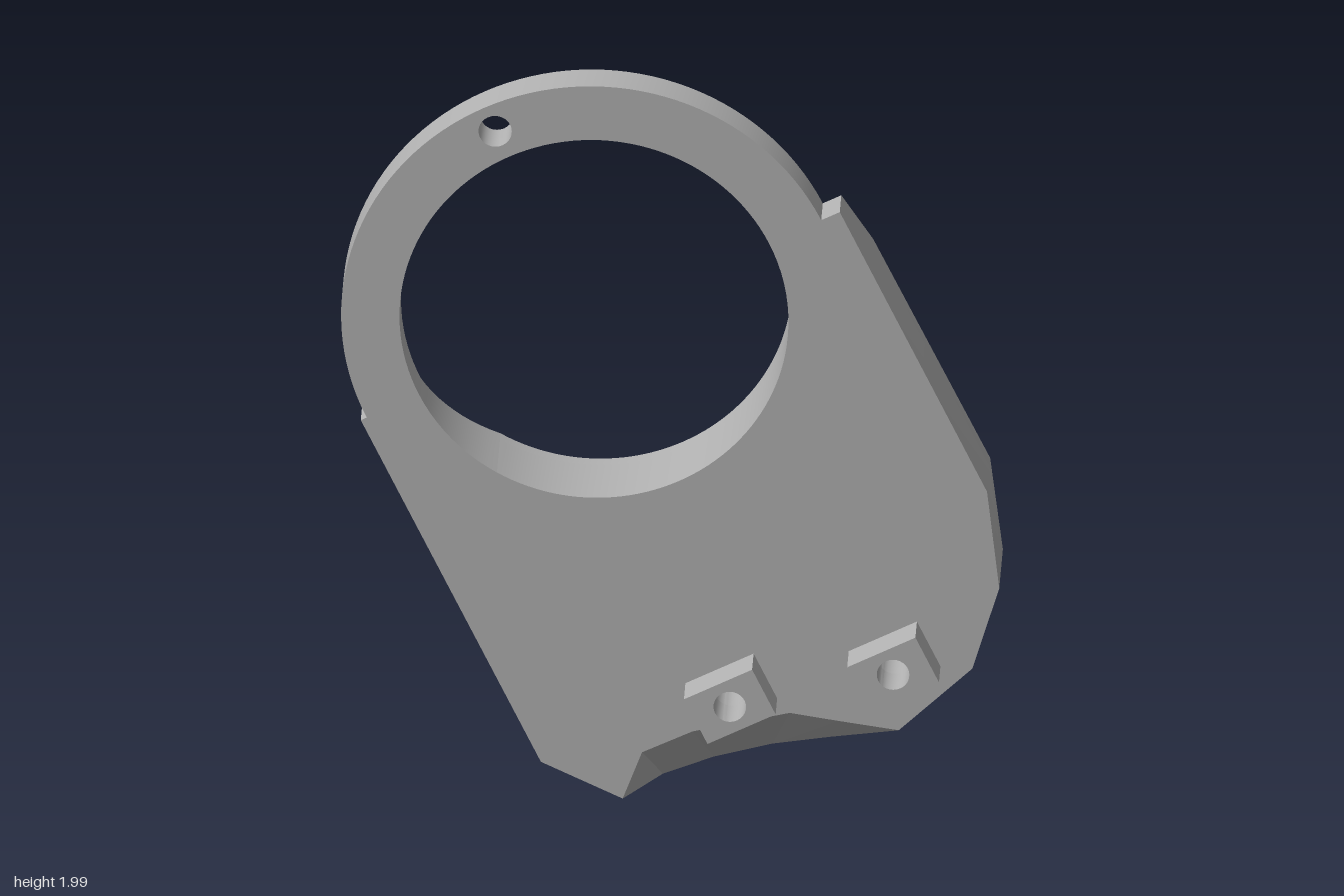
import * as THREE from 'three';
import { mergeGeometries, toCreasedNormals } from 'three/addons/utils/BufferGeometryUtils.js';

const ANGLE = 0.4512;            // roll of the bracket around the ring axis
const CX = -0.2, CY = 1.35;      // ring centre
const BACK = -0.255, RING = -0.11;
const HOLE = 0.5;

// Arc of [u, w] points around a centre
function arc(r, a0, a1, n, cu = 0, cw = 0) {
  const pts = [];
  for (let i = 0; i <= n; i++) {
    const a = a0 + (a1 - a0) * i / n;
    pts.push([cu + r * Math.cos(a), cw + r * Math.sin(a)]);
  }
  return pts;
}
const circle = (r, u, w) => arc(r, 0, Math.PI * 2, 28, u, w).slice(0, -1);

// Upright coordinates to the rolled plate coordinates
function toLocal(x, y) {
  const c = Math.cos(ANGLE), s = Math.sin(ANGLE);
  return [(x - CX) * c + (y - CY) * s, -(x - CX) * s + (y - CY) * c];
}

// Solid between a front and a back height; heights may be numbers or rules of (u, w, point)
function prism(outline, front, back, holes = []) {
  const h = (f, p) => (typeof f === 'function' ? f(p) : f);
  const wind = (pts, clockwise) => {
    const area = THREE.ShapeUtils.area(pts.map(p => new THREE.Vector2(p[0], p[1])));
    return (area < 0) === clockwise ? pts : pts.slice().reverse();
  };
  const loops = [wind(outline, false), ...holes.map(l => wind(l, true))];
  const vecs = loops.map(l => l.map(p => new THREE.Vector2(p[0], p[1])));
  const all = loops.flat();
  const pos = [];
  const put = (p, f) => pos.push(p[0], p[1], h(f, p));
  for (const [a, b, c] of THREE.ShapeUtils.triangulateShape(vecs[0], vecs.slice(1))) {
    [a, b, c].forEach(i => put(all[i], front));
    [a, c, b].forEach(i => put(all[i], back));
  }
  for (const l of loops) {
    l.forEach((p, i) => {
      const q = l[(i + 1) % l.length];
      put(p, back); put(q, back); put(q, front);
      put(p, back); put(q, front); put(p, front);
    });
  }
  const g = new THREE.BufferGeometry();
  g.setAttribute('position', new THREE.Float32BufferAttribute(pos, 3));
  return toCreasedNormals(g, 0.4);
}

export function createModel() {
  const metal = new THREE.MeshStandardMaterial({ color: 0xb0b0b0 });
  metal.name = 'grey metal';
  const model = new THREE.Group();
  model.name = 'clampBracket';
  const plate = new THREE.Group();
  plate.name = 'plate';
  const add = (name, ...geos) => {
    const m = new THREE.Mesh(geos.length > 1 ? mergeGeometries(geos) : geos[0], metal);
    m.name = name;
    plate.add(m);
  };

  // Thin half ring with a small pin hole
  add('halfRing', prism(
    [...arc(0.65, 0, Math.PI, 64), ...arc(HOLE, Math.PI, 0, 64)],
    0, RING, [circle(0.043, 0, 0.579)]));

  // Ramps from the ring thickness to the full body thickness
  const rampEnd = 0.28, a = Math.asin(rampEnd / HOLE);
  const ramp = p => RING + 0.518 * p[1];
  const cornerA = [0.703, -0.18, -0.203], cornerB = [0.52, -rampEnd, BACK];
  const cornerC = [0.703, -0.863, -0.22], cornerE = [0.613, -1.119, BACK];
  add('rightRamp', prism(
    [...arc(HOLE, -Math.PI, -Math.PI + a, 10), [-0.667, -rampEnd], [-0.667, 0]], 0, ramp));
  add('leftRamp', prism(
    [...arc(HOLE, 0, -a, 10), cornerB, cornerA, [0.703, 0]], 0, ramp));

  // Bevelled side strip with a narrow slot
  const strip = [cornerA, cornerB, cornerE, cornerC];
  const slot = [[0.625, -0.25], [0.655, -0.25], [0.655, -0.73], [0.625, -0.73]];
  const bevel = p => (p[2] !== undefined ? p[2] : -0.205 - 0.3 * (0.703 - p[0]));
  add('bevelStrip', prism(strip, 0, -0.17), prism(strip, -0.17, bevel, [slot]));

  // Scoop: upper rim on the front face, lower rim along the bottom edge
  const rim = [[-0.13, 0.01], [-0.08, 0.14], [0.05, 0.2], [0.3, 0.255], [0.42, 0.235], [0.58, 0.21]]
    .map(([x, y]) => [...toLocal(x, y), 0]);
  const lip = [[-0.13, 0], [-0.03, -0.1], [0.1, -0.13], [0.25, -0.12], [0.4, -0.07], [0.58, 0]]
    .map(([x, z]) => [...toLocal(x, 0.01 + 0.2817 * (x + 0.13)), z]);
  const strips = [];
  for (let i = 0; i < rim.length - 1; i++) {
    const quad = [rim[i], rim[i + 1]];
    if (i + 1 < rim.length - 1) quad.push(lip[i + 1]);
    if (i > 0) quad.push(lip[i]);
    strips.push(prism(quad, p => p[2], BACK));
  }
  add('bottomScoop', ...strips);

  // Main body in two layers, so bolt holes get counterbores and a blind recess
  const bolts = [toLocal(0.15, 0.315), toLocal(0.57, 0.41)];
  const recess = toLocal(0.06, 0.7);
  const outline = [
    [-0.667, -rampEnd], ...arc(HOLE, -Math.PI + a, -a, 44), cornerB, cornerE,
    toLocal(0.77, 0.385), ...rim.slice().reverse(), toLocal(-0.34, 0.11),
  ];
  const step = -0.215;
  add('body',
    prism(outline, 0, step, bolts.map(b => circle(0.042, ...b))),
    prism(outline, step, BACK, [...bolts, recess].map(b => circle(0.063, ...b))));

  // Two drilled blocks on the front
  bolts.forEach(([u, w], i) => {
    const box = [[-1, -1], [1, -1], [1, 1], [-1, 1]].map(([s, t]) => [u + s * 0.0975, w + t * 0.069]);
    add(i ? 'leftBlock' : 'rightBlock', prism(box, 0.105, 0, [circle(0.042, u, w)]));
  });

  // Roll the plate, then lean it forward
  plate.position.set(CX, CY, 0);
  plate.rotation.z = ANGLE;
  const lean = new THREE.Group();
  lean.name = 'leaningPlate';
  lean.rotation.x = Math.atan(0.078);
  lean.position.set(0, 0, 0.05);
  lean.add(plate);
  model.add(lean);
  return model;
}
